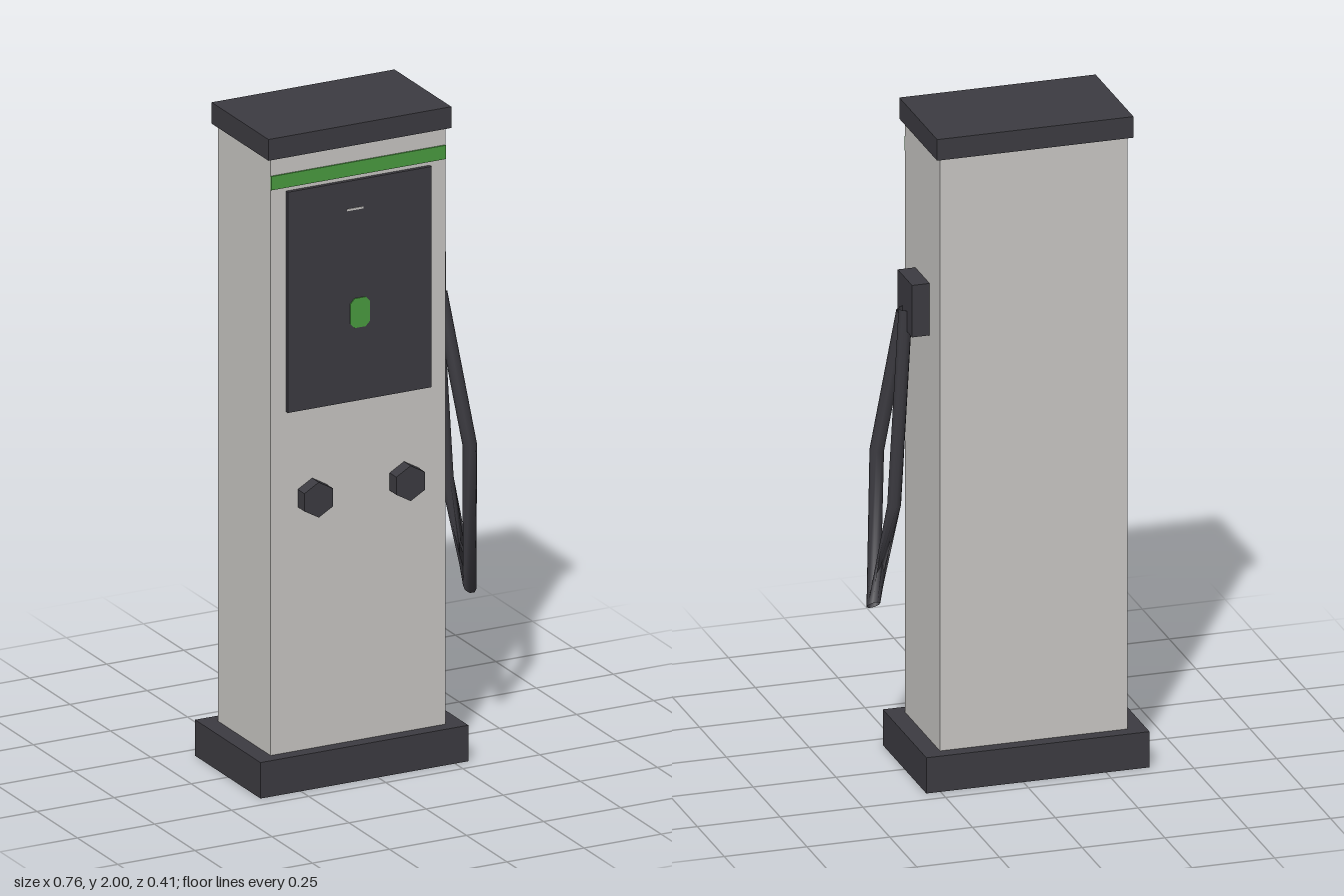
import * as THREE from 'three';

const mat = (name, color) => {
  const m = new THREE.MeshStandardMaterial({ color });
  m.name = name;
  return m;
};

export function createModel() {
  const model = new THREE.Group();
  model.name = 'chargingStation';
  const dark = mat('charcoal', 0x3c3b41);
  const light = mat('lightGrey', 0xc9c7c4);
  const green = mat('green', 0x4a9c40);

  const add = (name, geometry, material) => {
    const mesh = new THREE.Mesh(geometry, material);
    mesh.name = name;
    model.add(mesh);
    return mesh;
  };
  // Box given by its lower and upper limits on each axis
  const box = (name, material, [x0, x1], [y0, y1], [z0, z1]) =>
    add(name, new THREE.BoxGeometry(x1 - x0, y1 - y0, z1 - z0), material)
      .position.set((x0 + x1) / 2, (y0 + y1) / 2, (z0 + z1) / 2);

  // Cabinet
  box('base', dark, [-0.381, 0.293], [0, 0.11], [-0.203, 0.202]);
  box('body', light, [-0.328, 0.239], [0.11, 1.935], [-0.163, 0.163]);
  box('cap', dark, [-0.341, 0.252], [1.935, 2], [-0.177, 0.175]);
  box('stripe', green, [-0.328, 0.239], [1.84, 1.882], [0.163, 0.168]);

  // Display panel with its details
  box('screen', dark, [-0.278, 0.188], [1.153, 1.828], [0.163, 0.175]);
  box('screenMark', light, [-0.087, -0.034], [1.738, 1.744], [0.175, 0.177]);
  const icon = new THREE.Shape();
  const corners = [[0.018, 0.045], [0.032, 0.03], [0.032, -0.03], [0.018, -0.045]];
  icon.setFromPoints([
    ...corners.map(([x, y]) => new THREE.Vector2(x, y)),
    ...corners.map(([x, y]) => new THREE.Vector2(-x, -y)),
  ].reverse());
  add('screenIcon', new THREE.ExtrudeGeometry(icon, { depth: 0.003, bevelEnabled: false }), green)
    .position.set(-0.045, 1.422, 0.175);

  // Hexagonal sockets
  for (const x of [-0.193, 0.105]) {
    const geometry = new THREE.CylinderGeometry(0.054, 0.054, 0.05, 6).toNonIndexed();
    geometry.computeVertexNormals();
    geometry.rotateX(Math.PI / 2);
    add('socket', geometry, dark).position.set(x, 0.882, 0.179);
  }

  // Holster on the side
  box('holster', dark, [0.239, 0.292], [1.355, 1.515], [-0.067, 0.067]);

  // Angular hanging cable, one straight piece between each pair of points
  const points = [
    [0.29, 1.42, 0], [0.318, 0.81, 0.02], [0.36, 0.483, 0.083],
    [0.334, 0.94, 0.132], [0.278, 1.39, 0.056],
  ].map((p) => new THREE.Vector3(...p));
  const path = new THREE.Curve();
  path.getPoint = (t) => {
    const s = Math.min(Math.max(t, 0), 1) * (points.length - 1);
    const i = Math.min(Math.floor(s), points.length - 2);
    return points[i].clone().lerp(points[i + 1], s - i);
  };
  path.getPointAt = path.getPoint;
  path.getTangentAt = (t) => path.getTangent(t);
  const cableMaterial = mat('cableCharcoal', 0x3c3b41);
  cableMaterial.side = THREE.DoubleSide;
  add('cable', new THREE.TubeGeometry(path, points.length - 1, 0.021, 8), cableMaterial);

  return model;
}
